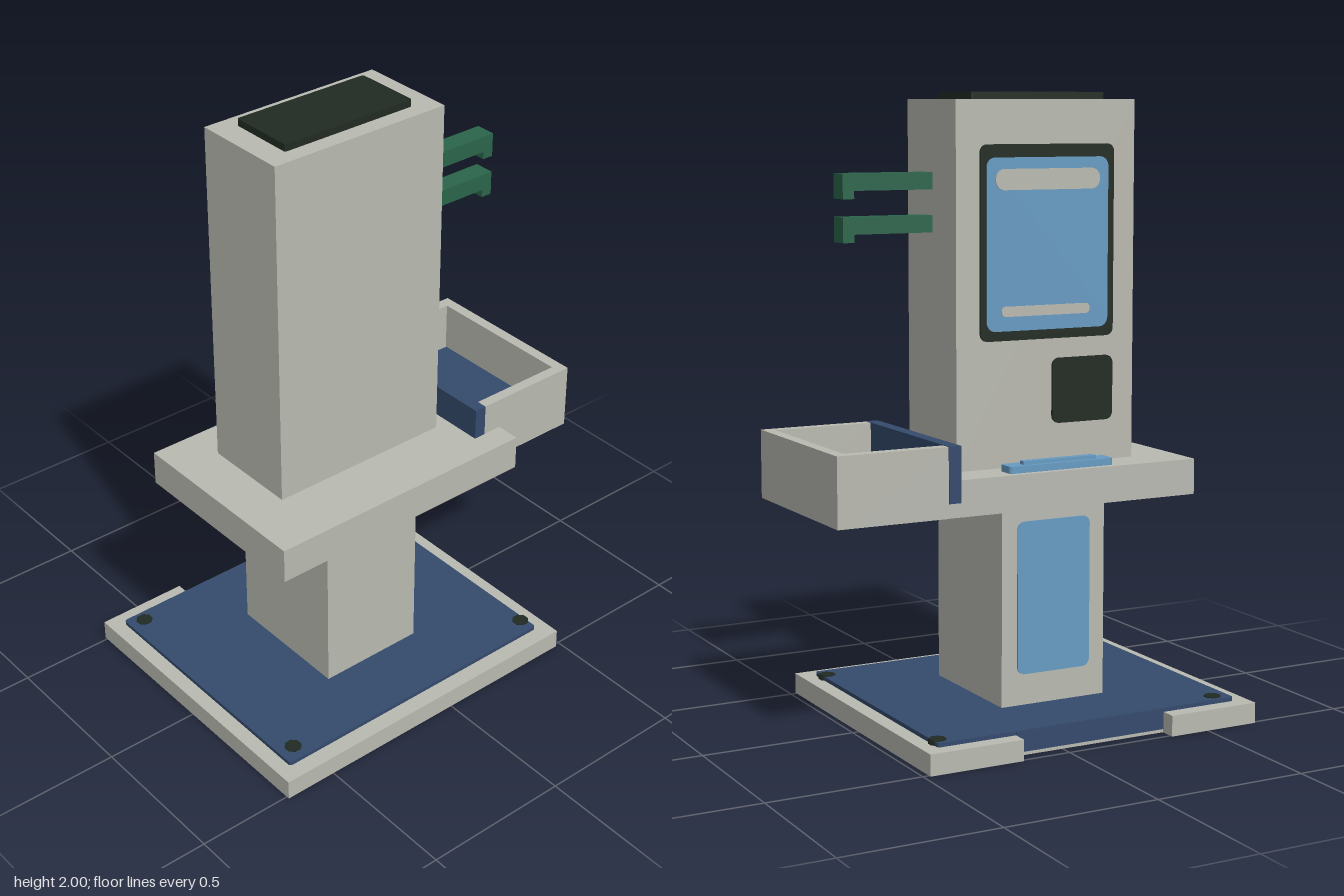
import * as THREE from 'three';

const mat = (name, color) => {
  const m = new THREE.MeshStandardMaterial({ color });
  m.name = name;
  return m;
};

export function createModel() {
  const root = new THREE.Group();
  root.name = 'kiosk';
  const grey = mat('warm grey', 0xb9bab1);
  const navy = mat('navy', 0x344a6c);
  const black = mat('green black', 0x212b22);
  const green = mat('green', 0x2b654b);
  const blue = mat('light blue', 0x679bc3);

  const add = (name, geometry, material, parent = root) => {
    const mesh = new THREE.Mesh(geometry, material);
    mesh.name = name;
    parent.add(mesh);
    return mesh;
  };

  // Box given by its limits on each axis
  const box = (name, material, [x0, x1], [y0, y1], [z0, z1], parent) => {
    const g = new THREE.BoxGeometry(x1 - x0, y1 - y0, z1 - z0);
    g.translate((x0 + x1) / 2, (y0 + y1) / 2, (z0 + z1) / 2);
    return add(name, g, material, parent);
  };

  // Rounded rectangle outline
  const roundRect = (x0, x1, y0, y1, r) => {
    const s = new THREE.Shape();
    s.absarc(x1 - r, y1 - r, r, 0, Math.PI / 2);
    s.absarc(x0 + r, y1 - r, r, Math.PI / 2, Math.PI);
    s.absarc(x0 + r, y0 + r, r, Math.PI, Math.PI * 1.5);
    s.absarc(x1 - r, y0 + r, r, Math.PI * 1.5, Math.PI * 2);
    s.closePath();
    return s;
  };
  const extrude = (shape, depth) =>
    new THREE.ExtrudeGeometry(shape, { depth, bevelEnabled: false, curveSegments: 5 });

  // Thin upright plate whose outer face is at z
  const plate = (name, material, [x0, x1], [y0, y1], r, z, depth = 0.008) =>
    add(name, extrude(roundRect(x0, x1, y0, y1, r), depth).translate(0, 0, z), material);

  // Flat slab with rounded corners in plan
  const slab = (name, material, [x0, x1], [y0, y1], [z0, z1], r) =>
    add(name, extrude(roundRect(x0, x1, -z1, -z0, r), y1 - y0)
      .rotateX(-Math.PI / 2).translate(0, y0, 0), material);

  // Base with a notch at the back
  const outline = [[-0.68, -0.51], [0.48, -0.51], [0.48, 0.51], [0.165, 0.51],
    [0.165, 0.457], [-0.365, 0.457], [-0.365, 0.51], [-0.68, 0.51]];
  const baseShape = new THREE.Shape(outline.map(([x, y]) => new THREE.Vector2(x, y)));
  add('base', extrude(baseShape, 0.067).rotateX(-Math.PI / 2), grey);
  slab('floorMat', navy, [-0.63, 0.43], [0.067, 0.08], [-0.46, 0.455], 0.01);
  box('notchLining', navy, [-0.364, 0.164], [0.012, 0.078], [-0.462, -0.45]);
  for (const x of [-0.575, 0.412]) {
    for (const z of [-0.42, 0.4]) {
      const g = new THREE.CylinderGeometry(0.028, 0.028, 0.02, 8);
      g.rotateY(Math.PI / 8).translate(x, 0.073, z);
      add('matStud', g, black);
    }
  }

  // Pedestal
  box('pedestal', grey, [-0.285, 0.085], [0.07, 0.72], [-0.22, 0.22]);
  plate('pedestalPanel', blue, [-0.23, 0.03], [0.18, 0.67], 0.025, -0.225);

  // Desk and side tray
  box('desk', grey, [-0.575, 0.375], [0.72, 0.835], [-0.298, 0.375]);
  const tray = new THREE.Group();
  tray.name = 'sideTray';
  root.add(tray);
  box('trayFloor', grey, [0.375, 0.64], [0.72, 0.76], [-0.26, 0.255], tray);
  box('trayLiner', navy, [0.375, 0.64], [0.76, 0.775], [-0.26, 0.255], tray);
  box('trayOuterWall', grey, [0.64, 0.677], [0.72, 0.94], [-0.3, 0.293], tray);
  box('trayBackWall', grey, [0.31, 0.64], [0.72, 0.94], [-0.3, -0.262], tray);
  box('trayFrontWall', grey, [0.31, 0.64], [0.72, 0.94], [0.257, 0.293], tray);
  box('trayDivider', navy, [0.268, 0.309], [0.765, 0.941], [-0.301, 0.294], tray);

  // Input pad on the desk
  slab('inputPad', blue, [-0.285, 0.085], [0.835, 0.857], [-0.275, -0.21], 0.012);
  box('inputPadRidge', blue, [-0.23, 0.03], [0.857, 0.868], [-0.26, -0.235]);

  // Tower with cap
  box('tower', grey, [-0.418, 0.216], [0.835, 1.977], [-0.168, 0.164]);
  slab('towerCap', black, [-0.338, 0.136], [1.977, 2], [-0.115, 0.109], 0.006);

  // Display and reader on the back face
  plate('displayFrame', black, [-0.34, 0.135], [1.235, 1.84], 0.025, -0.175);
  plate('displayScreen', blue, [-0.317, 0.115], [1.265, 1.8], 0.03, -0.179);
  plate('displayHeader', grey, [-0.285, 0.085], [1.7, 1.765], 0.031, -0.182);
  plate('displayFooter', grey, [-0.25, 0.065], [1.31, 1.342], 0.015, -0.182);
  plate('reader', black, [-0.34, -0.12], [0.965, 1.172], 0.025, -0.175);

  // Hooked side arms
  const hook = [[0.2, 0], [0.52, 0], [0.52, -0.078], [0.482, -0.078], [0.482, -0.053], [0.2, -0.053]];
  const hookShape = new THREE.Shape(hook.map(([x, y]) => new THREE.Vector2(x, y)));
  for (const y of [1.753, 1.62]) {
    add('sideHook', extrude(hookShape, 0.068).translate(0, y, -0.01), green);
  }
  return root;
}
